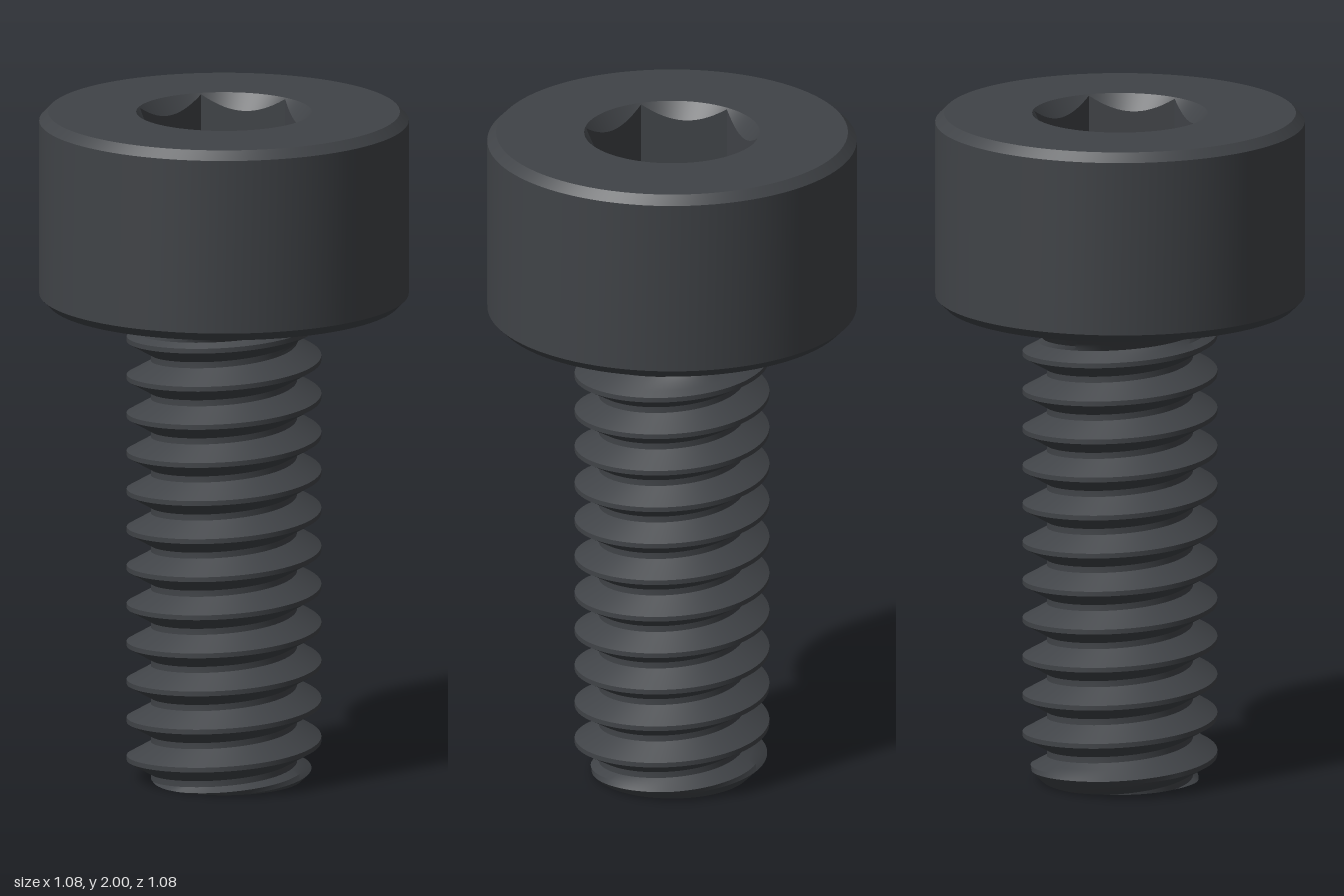
import * as THREE from 'three';
import { toCreasedNormals } from 'three/addons/utils/BufferGeometryUtils.js';

const SEGS = 96;
const TOP = 2, HEAD_BASE = 1.43, SHANK_TOP = 1.4;
const PITCH = 0.1143, CREST = 0.285, ROOT = 0.214;

const material = new THREE.MeshStandardMaterial({ color: 0x404347 });

// Skins a stack of loops; at(angle, row) returns [radius, y]. Rows run up the outside.
function skin(name, rows, at) {
  const pos = [];
  const point = (i, j) => {
    const a = (i / SEGS) * Math.PI * 2;
    const [r, y] = at(a, j);
    return new THREE.Vector3(r * Math.cos(a), y, -r * Math.sin(a));
  };
  const tri = (a, b, c) => {
    const area = b.clone().sub(a).cross(c.clone().sub(a)).length();
    if (area > 1e-9) for (const p of [a, b, c]) pos.push(p.x, p.y, p.z);
  };
  for (let j = 0; j < rows - 1; j++) {
    for (let i = 0; i < SEGS; i++) {
      const a = point(i, j), b = point(i + 1, j), c = point(i + 1, j + 1), d = point(i, j + 1);
      tri(a, b, c);
      tri(a, c, d);
    }
  }
  const geometry = new THREE.BufferGeometry();
  geometry.setAttribute('position', new THREE.Float32BufferAttribute(pos, 3));
  const mesh = new THREE.Mesh(toCreasedNormals(geometry, Math.PI / 7), material);
  mesh.name = name;
  return mesh;
}

// Radius of the threaded shank: helical V profile, chamfered tip, run-out below the head
function threadRadius(a, y) {
  const turn = y / PITCH - a / (Math.PI * 2);
  const fromCrest = Math.abs(turn - Math.round(turn)) * PITCH;
  const v = CREST - Math.max(0, fromCrest - 0.0625 * PITCH) * Math.sqrt(3);
  const tip = 0.23 + y;
  const runOut = CREST - (SHANK_TOP - y) * 0.8;
  return Math.min(Math.max(v, ROOT, runOut), tip, CREST);
}

// Radius of the hexagon, corners on the x axis
function hexRadius(a) {
  const sector = Math.PI / 3;
  const local = a - Math.floor(a / sector + 1e-6) * sector - sector / 2;
  return 0.22 / Math.cos(local);
}

export function createModel() {
  const screw = new THREE.Group();
  screw.name = 'socketHeadScrew';

  // Head with neck fillet and chamfered rims
  const head = [
    [CREST, SHANK_TOP], [0.288, 1.413], [0.296, 1.424], [0.315, HEAD_BASE],
    [0.515, HEAD_BASE], [0.541, 1.456], [0.541, 1.974], [0.515, TOP], [0.257, TOP],
  ];
  screw.add(skin('head', head.length, (a, j) => head[j]));

  // Hexagonal socket with a conical lead-in and flat floor
  const floor = TOP - 0.286;
  screw.add(skin('hexSocket', 4, (a, j) => {
    const r = hexRadius(a);
    return [[0.257, TOP], [r, TOP - (0.257 - r) * 1.25], [r, floor], [0, floor]][j];
  }));

  // Threaded shank, its rows following the helix
  const offsets = [-0.0625, 0.0625, 0.18, 0.3, 0.42, 0.5, 0.58, 0.7, 0.82];
  const steps = [];
  for (let k = -2; k <= 13; k++) for (const o of offsets) steps.push(k + o);
  screw.add(skin('threadedShank', steps.length, (a, j) => {
    const y = THREE.MathUtils.clamp((steps[j] + a / (Math.PI * 2)) * PITCH, 0, SHANK_TOP);
    return [threadRadius(a, y), y];
  }));

  // Flat end of the shank
  screw.add(skin('tip', 2, (a, j) => [j ? threadRadius(a, 0) : 0, 0]));

  return screw;
}
